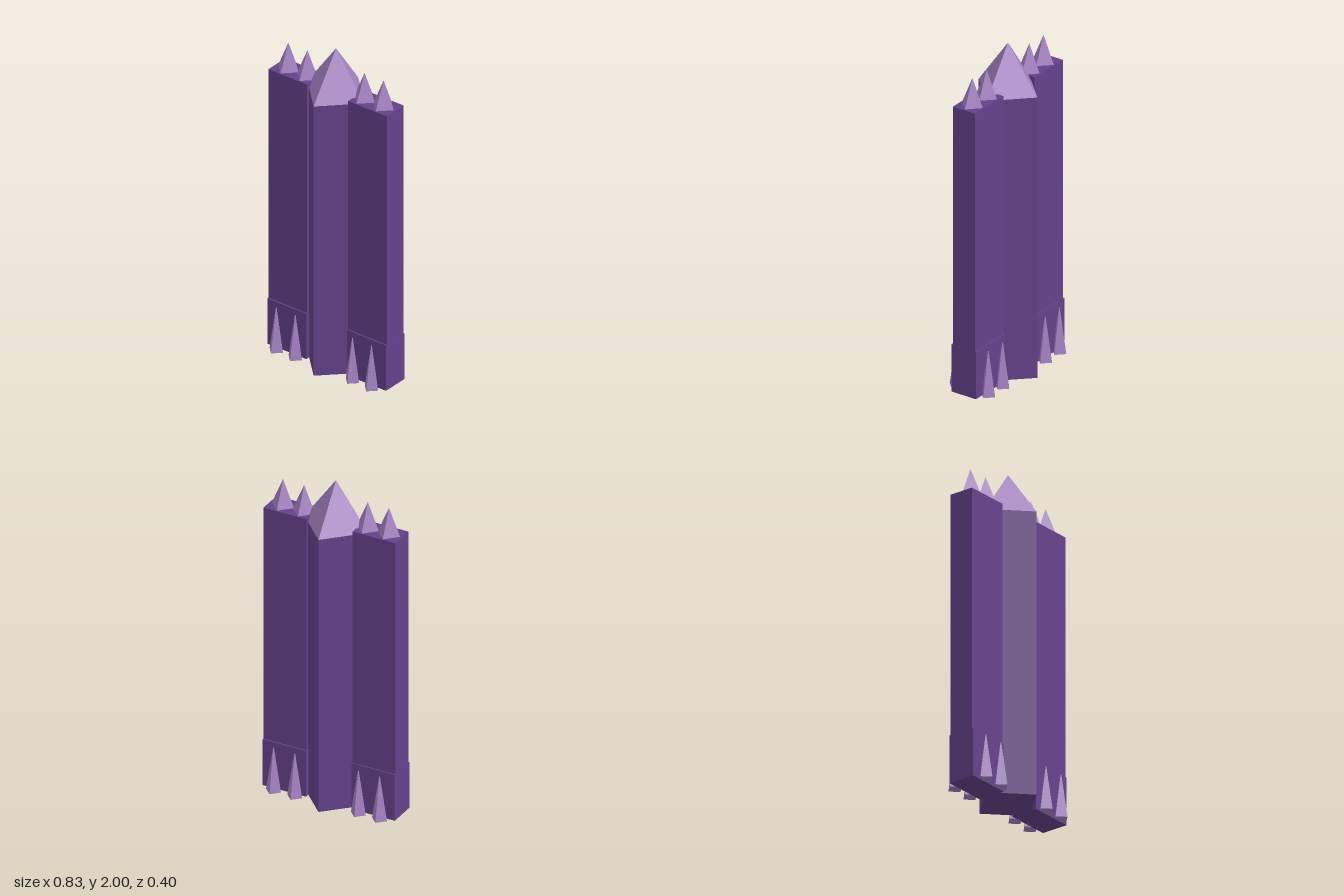
import * as THREE from 'three';

export function createModel() {
  const model = new THREE.Group();
  const deepPurple = new THREE.MeshStandardMaterial({ color: 0x64428a });
  deepPurple.name = 'deepPurple';
  const paleLilac = new THREE.MeshStandardMaterial({ color: 0xa583c4 });
  paleLilac.name = 'paleLilac';

  const add = (name, geometry, material, x, y, z) => {
    const mesh = new THREE.Mesh(geometry, material);
    mesh.name = name;
    mesh.position.set(x, y, z);
    model.add(mesh);
  };

  // Four-sided prism or pyramid with flat faces, corners on the x and z axes
  const foursided = (topRadius, bottomRadius, height) => {
    const g = new THREE.CylinderGeometry(topRadius, bottomRadius, height, 4).toNonIndexed();
    g.computeVertexNormals();
    return g;
  };

  // Central diamond column and its pointed cap
  add('centralColumn', foursided(0.2, 0.2, 1.72), deepPurple, 0, 0.86, 0);
  add('centralCap', foursided(0, 0.2, 0.28), paleLilac, 0, 1.86, 0);

  const wing = new THREE.BoxGeometry(0.27, 1.75, 0.15);
  const plinth = new THREE.BoxGeometry(0.272, 0.29, 0.166);
  const topSpike = foursided(0, 0.07, 0.165);
  const baseSpike = foursided(0.003, 0.047, 0.27);

  for (const side of [-1, 1]) {
    // Side slab with a slightly thicker foot
    add('sideSlab', wing, deepPurple, side * 0.279, 0.875, 0);
    add('slabFoot', plinth, deepPurple, side * 0.279, 0.145, 0);

    // Crowning spikes and the buttress spikes front and back
    for (const x of [0.2, 0.333]) {
      add('topSpike', topSpike, paleLilac, side * x, 1.8325, 0);
      for (const z of [-0.108, 0.108]) {
        add('baseSpike', baseSpike, paleLilac, side * x, 0.135, z);
      }
    }
  }
  return model;
}
